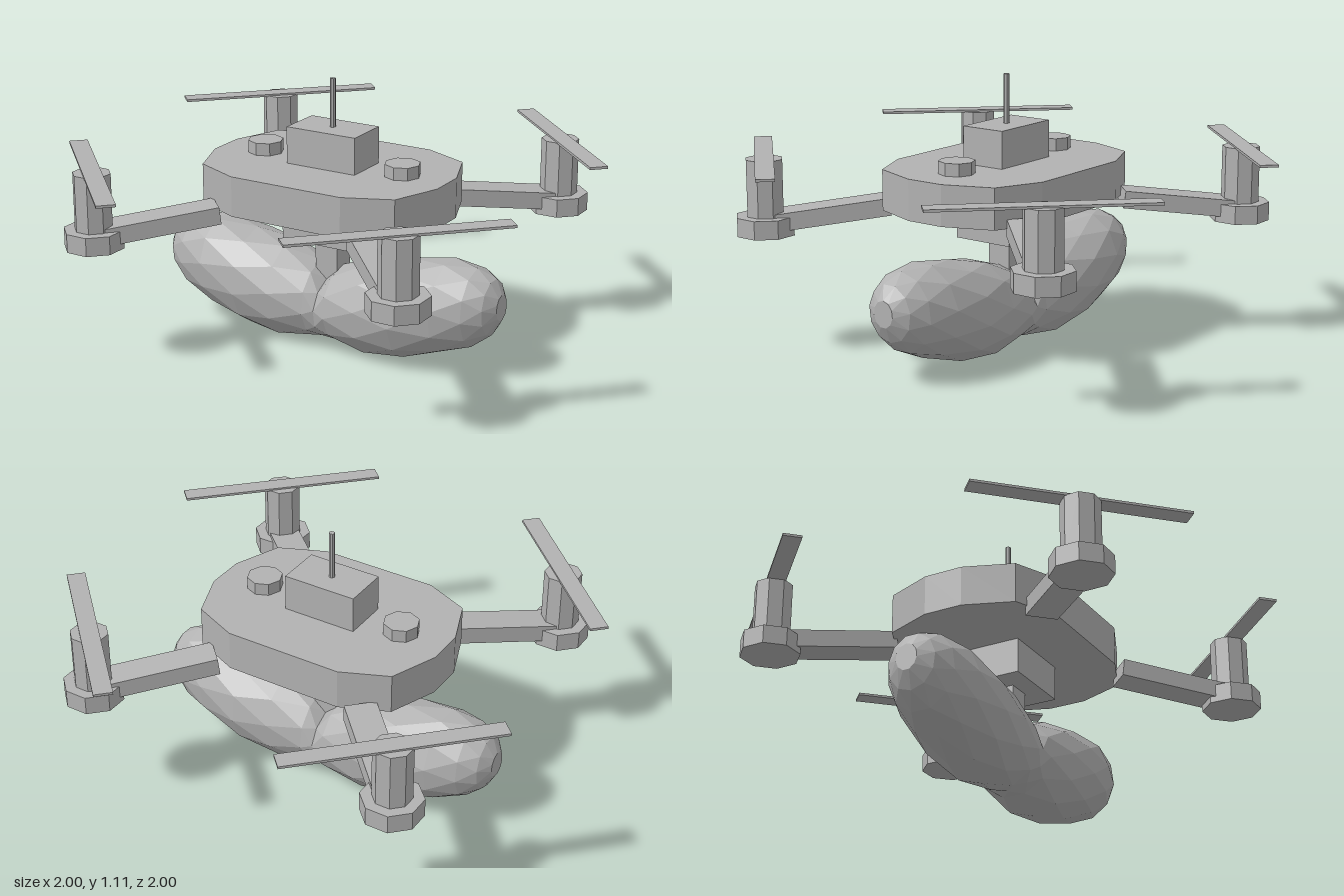
import * as THREE from 'three';

const grey = new THREE.MeshStandardMaterial({ color: 0xb2b2b2, flatShading: true });
grey.name = 'plain grey';

function add(parent, name, geometry, x = 0, y = 0, z = 0) {
  const mesh = new THREE.Mesh(geometry, grey);
  mesh.name = name;
  mesh.position.set(x, y, z);
  parent.add(mesh);
  return mesh;
}

// Upright eight-sided prism; turned so its flats face the axes when wanted
function octagon(radius, height, flats = true) {
  const g = new THREE.CylinderGeometry(radius, radius, height, 8);
  return flats ? g.rotateY(Math.PI / 8) : g;
}

// Faceted loft along x; each section is [x, bottom, top, half depth]
function loft(sections, sides) {
  const pos = [], index = [], last = sections.length - 1;
  sections.forEach(([x, low, high, depth], i) => {
    for (let j = 0; j < sides; j++) {
      const a = ((j + (i % 2) * 0.5) / sides) * Math.PI * 2;
      pos.push(x, (low + high) / 2 + ((high - low) / 2) * 1.015 * Math.cos(a), depth * 1.015 * Math.sin(a));
    }
  });
  const id = (i, j) => i * sides + (j % sides);
  for (let i = 0; i < last; i++) {
    for (let j = 0; j < sides; j++) {
      if (i % 2 === 0) {
        index.push(id(i, j), id(i, j + 1), id(i + 1, j), id(i, j + 1), id(i + 1, j + 1), id(i + 1, j));
      } else {
        index.push(id(i, j), id(i + 1, j + 1), id(i + 1, j), id(i, j), id(i, j + 1), id(i + 1, j + 1));
      }
    }
  }
  for (let j = 1; j < sides - 1; j++) {
    index.push(id(0, 0), id(0, j + 1), id(0, j), id(last, 0), id(last, j), id(last, j + 1));
  }
  const g = new THREE.BufferGeometry();
  g.setAttribute('position', new THREE.Float32BufferAttribute(pos, 3));
  g.setIndex(index);
  const flat = g.toNonIndexed();
  flat.computeVertexNormals();
  return flat;
}

export function createModel() {
  const model = new THREE.Group();
  model.name = 'drone';

  // Twelve-sided body plate
  const corner = [[0.51, 0.08], [0.435, 0.275], [0.245, 0.357]];
  const outline = [
    ...corner,
    ...corner.map(([x, y]) => [-x, y]).reverse(),
    ...corner.map(([x, y]) => [-x, -y]),
    ...corner.map(([x, y]) => [x, -y]).reverse(),
  ].map(([x, y]) => new THREE.Vector2(x, y));
  const plate = new THREE.ExtrudeGeometry(new THREE.Shape(outline), { depth: 0.163, bevelEnabled: false });
  add(model, 'body', plate.rotateX(-Math.PI / 2), 0, 0.602, 0);

  // Boxes above and below, mast and stem
  add(model, 'topBox', new THREE.BoxGeometry(0.31, 0.15, 0.19), 0, 0.84, 0);
  add(model, 'antenna', new THREE.CylinderGeometry(0.012, 0.012, 0.2, 8), 0, 1.012, 0);
  add(model, 'bottomBox', new THREE.BoxGeometry(0.31, 0.15, 0.26), 0, 0.535, 0);
  add(model, 'stem', new THREE.BoxGeometry(0.1, 0.2, 0.1), 0, 0.38, 0);
  for (const side of [-1, 1]) {
    add(model, 'topKnob', octagon(0.072, 0.055, false), side * 0.315, 0.788, 0);
  }

  // Four sloping arms, each with a hub, motor and rotor blade
  for (let k = 0; k < 4; k++) {
    const unit = new THREE.Group();
    unit.name = 'rotorUnit';
    unit.rotation.y = Math.PI / 4 + (k * Math.PI) / 2;
    const reach = 0.955;
    const arm = add(unit, 'arm', new THREE.BoxGeometry(0.49, 0.07, 0.127), 0.711, 0.574, 0);
    arm.rotation.z = -0.118;
    add(unit, 'hub', octagon(0.12, 0.075), reach, 0.534, 0).rotation.y = Math.PI / 4;
    add(unit, 'motor', octagon(0.076, 0.23), reach, 0.683, 0);
    add(unit, 'blade', new THREE.BoxGeometry(0.074, 0.01, 0.846), reach, 0.8, 0);
    model.add(unit);
  }

  // Two-lobed sagging load, creased in the middle
  const half = [
    [0.05, 0.032, 0.345, 0.165], [0.2, 0.005, 0.4, 0.188], [0.36, 0.027, 0.43, 0.197],
    [0.53, 0.08, 0.456, 0.178], [0.65, 0.128, 0.444, 0.142], [0.72, 0.185, 0.41, 0.1],
    [0.757, 0.25, 0.355, 0.045],
  ];
  const load = [
    ...half.map(([x, ...rest]) => [-x, ...rest]).reverse(),
    [0, 0.04, 0.295, 0.155],
    ...half,
  ];
  add(model, 'load', loft(load, 11));

  return model;
}
